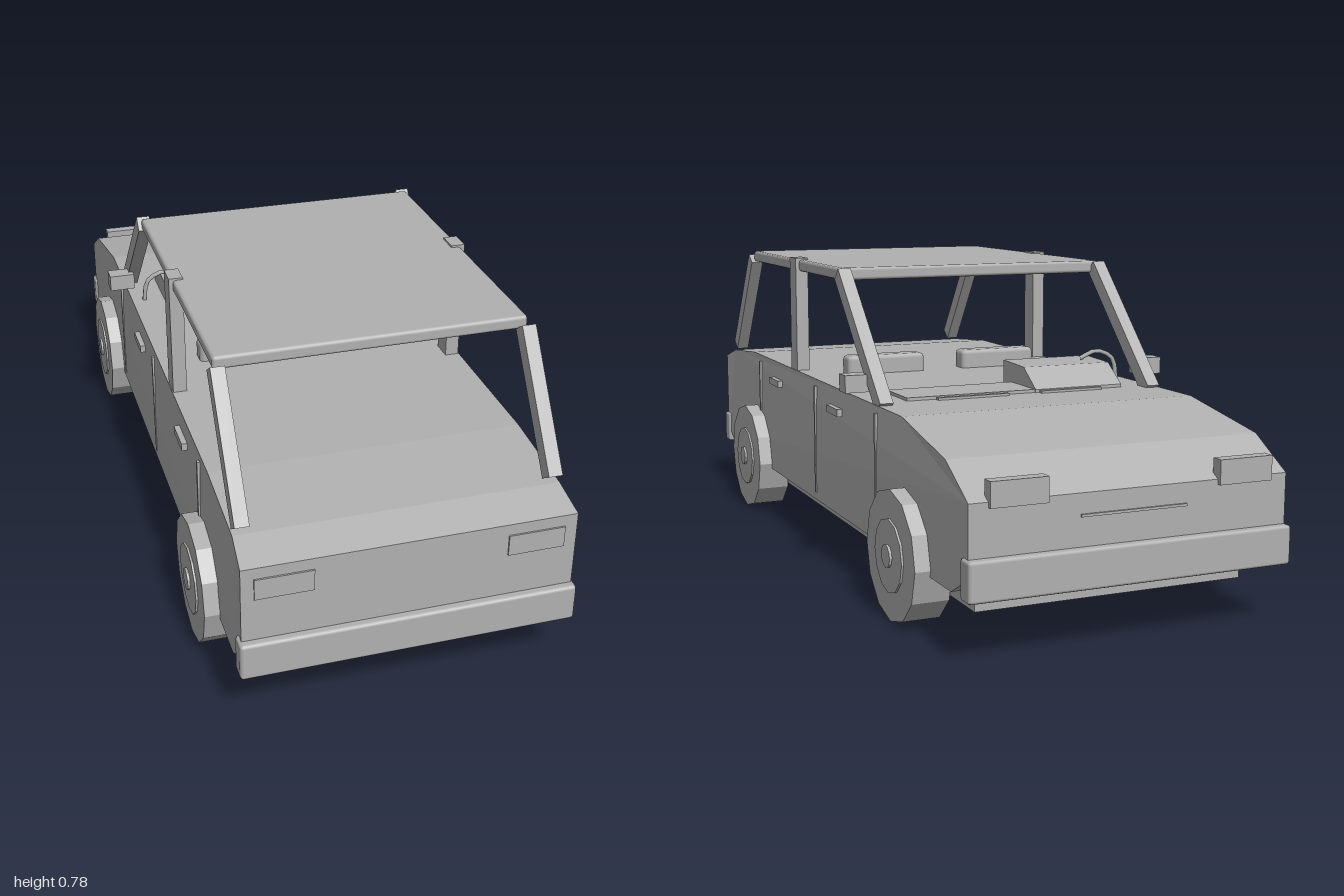
import * as THREE from 'three';
import { RoundedBoxGeometry } from 'three/addons/geometries/RoundedBoxGeometry.js';

export function createModel() {
  const car = new THREE.Group();
  car.name = 'car';
  const grey = new THREE.MeshStandardMaterial({ color: 0xb0b0b0 });
  grey.name = 'plain grey';

  function add(name, geometry, x = 0, y = 0, z = 0) {
    const mesh = new THREE.Mesh(geometry, grey);
    mesh.name = name;
    mesh.position.set(x, y, z);
    car.add(mesh);
    return mesh;
  }
  // Box given by its extents on each axis, optionally chamfered
  function box(name, [x0, x1], [y0, y1], [z0, z1], bevel = 0) {
    const w = x1 - x0, h = y1 - y0, d = z1 - z0;
    const g = bevel ? new RoundedBoxGeometry(w, h, d, 1, bevel) : new THREE.BoxGeometry(w, h, d);
    return add(name, g, (x0 + x1) / 2, (y0 + y1) / 2, (z0 + z1) / 2);
  }
  // Side profile of [z, y] points extruded across the car from x0 to x1
  function profile(points, x0, x1) {
    const shape = new THREE.Shape(points.map(([z, y]) => new THREE.Vector2(-z, y)));
    const g = new THREE.ExtrudeGeometry(shape, { depth: x1 - x0, bevelEnabled: false });
    return g.rotateY(Math.PI / 2).translate(x0, 0, 0);
  }
  // Square bar between two [z, y] points
  function bar(name, x, a, b) {
    const dz = b[0] - a[0], dy = b[1] - a[1];
    const m = add(name, new THREE.BoxGeometry(0.034, Math.hypot(dz, dy), 0.04),
      x, (a[1] + b[1]) / 2, (a[0] + b[0]) / 2);
    m.rotation.x = Math.atan2(dz, dy);
  }

  // Body shell, narrowing slightly at the waistline
  const body = profile([
    [0.9, 0.14], [0.98, 0.19], [0.98, 0.42], [0.89, 0.448], [0.66, 0.468],
    [-0.59, 0.468], [-0.86, 0.42], [-0.98, 0.35], [-0.98, 0.19], [-0.89, 0.14],
  ], -0.39, 0.39);
  const p = body.attributes.position;
  for (let i = 0; i < p.count; i++) if (p.getY(i) > 0.44) p.setX(i, p.getX(i) * 0.985);
  body.computeVertexNormals();
  add('body', body);
  box('underbody', [-0.335, 0.335], [0.088, 0.15], [-0.89, 0.895]);

  // Roof and bumpers
  box('roof', [-0.372, 0.372], [0.743, 0.775], [-0.133, 0.688], 0.008);
  box('rearBumper', [-0.397, 0.397], [0.14, 0.232], [0.95, 1], 0.008);
  box('frontBumper', [-0.397, 0.397], [0.14, 0.232], [-1, -0.95], 0.008);
  box('grilleStrip', [-0.13, 0.13], [0.298, 0.304], [-0.985, -0.975]);

  for (const s of [-1, 1]) {
    const span = (a, b) => (s > 0 ? [a, b] : [-b, -a]);

    // Roof pillars
    bar('rearPillar', s * 0.365, [0.89, 0.465], [0.692, 0.752]);
    bar('frontPillar', s * 0.365, [-0.43, 0.46], [-0.13, 0.76]);
    box('middlePillar', span(0.347, 0.382), [0.45, 0.78], [0.22, 0.276]);

    // Lamps and mirrors
    box('headlight', span(0.21, 0.345), [0.338, 0.395], [-0.99, -0.96]);
    box('tailLight', span(0.225, 0.36), [0.34, 0.392], [0.975, 0.984]);
    box('mirror', span(0.37, 0.438), [0.49, 0.533], [-0.355, -0.31]);

    // Door seams and handles
    for (const [z, y] of [[-0.43, 0.16], [0.04, 0.16], [0.58, 0.3]])
      box('doorSeam', span(0.385, 0.392), [y, 0.45], [z - 0.005, z + 0.005]);
    for (const z of [-0.13, 0.402])
      box('doorHandle', span(0.385, 0.4), [0.401, 0.42], [z - 0.045, z + 0.045]);

    // Wheels: tyre, hub and cap
    for (const z of [-0.622, 0.625]) {
      for (const [name, r, x0, x1] of [['tyre', 0.155, 0.337, 0.427],
        ['hub', 0.087, 0.4, 0.432], ['hubCap', 0.027, 0.41, 0.438]]) {
        const g = new THREE.CylinderGeometry(r, r, x1 - x0, 12).toNonIndexed();
        g.computeVertexNormals();
        add(name, g.rotateZ(Math.PI / 2), s * (x0 + x1) / 2, 0.155, z);
      }
    }

    // Seat tops
    box('seatTop', s > 0 ? [0.055, 0.28] : [-0.28, -0.058], [0.44, 0.518], [0.08, 0.137], 0.012);
  }

  // Dashboard: instrument hood, low shelf and air vents
  add('instrumentHood', profile([[-0.21, 0.46], [-0.21, 0.528], [-0.33, 0.524], [-0.4, 0.476], [-0.4, 0.46]],
    -0.295, -0.05));
  box('dashShelf', [-0.05, 0.295], [0.455, 0.476], [-0.395, -0.255]);
  box('airVent', [-0.23, -0.06], [0.46, 0.474], [-0.414, -0.402]);
  box('airVent', [0.03, 0.22], [0.46, 0.474], [-0.414, -0.402]);

  // Top of the steering wheel rim
  const rim = new THREE.CatmullRomCurve3([[-0.35, 0.465], [-0.338, 0.525], [-0.29, 0.548], [-0.24, 0.53]]
    .map(([x, y]) => new THREE.Vector3(x, y, -0.275)));
  add('steeringWheel', new THREE.TubeGeometry(rim, 8, 0.006, 6));

  return car;
}
